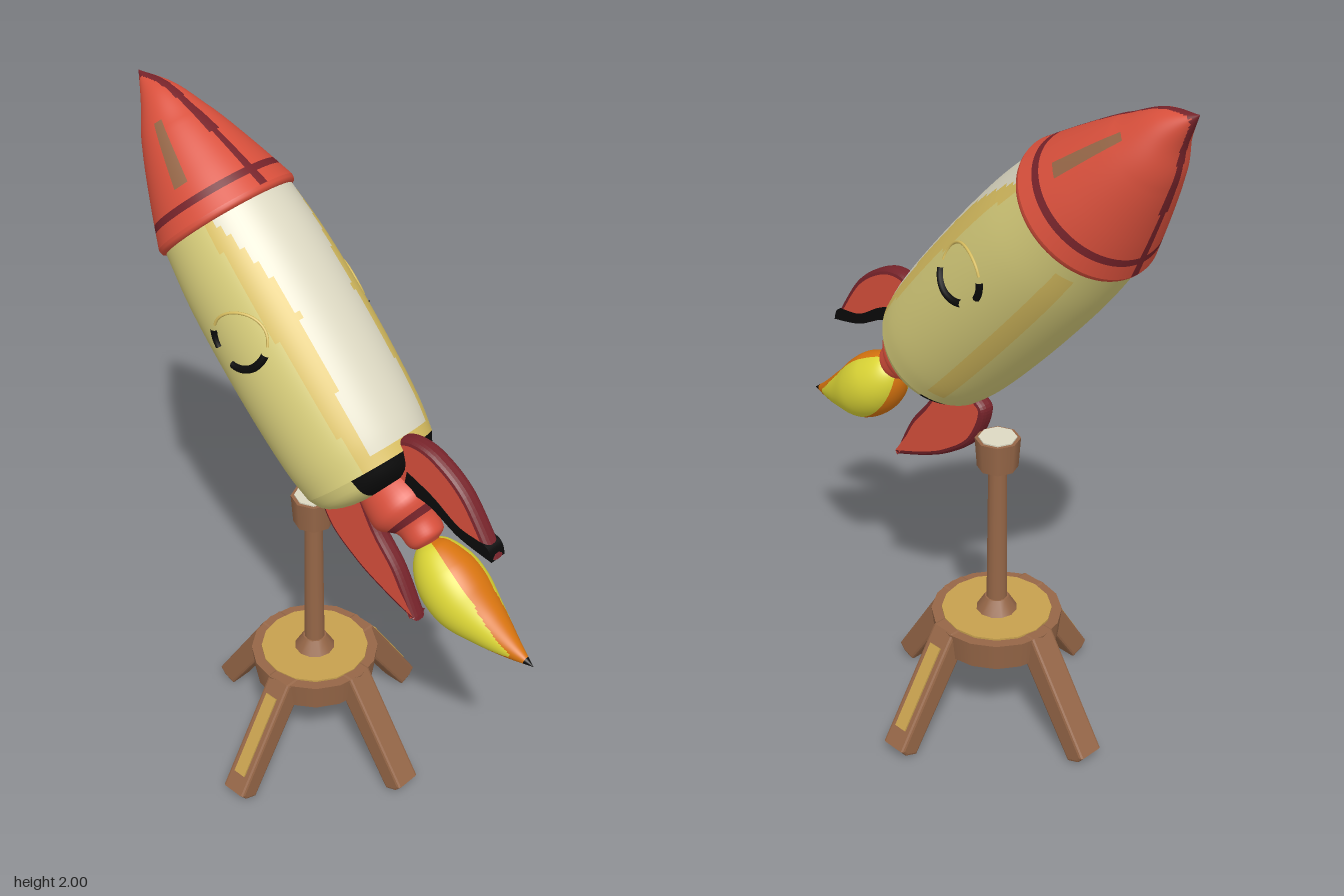
import * as THREE from 'three';

const mat = (name, color) => {
  const m = new THREE.MeshStandardMaterial({ color });
  m.name = name;
  return m;
};

export function createModel() {
  const red = mat('red', 0xd9503c), darkRed = mat('dark red', 0x76232a);
  const yellow = mat('pale yellow', 0xd6cc7a), gold = mat('gold', 0xd8be60), white = mat('off white', 0xdcd8c2);
  const flameYellow = mat('flame yellow', 0xdcd636), orange = mat('orange', 0xd8740f);
  const black = mat('black', 0x0a0a0a), brown = mat('brown', 0x956647), wood = mat('light wood', 0xc6a04e);

  const model = new THREE.Group();
  const rocket = new THREE.Group();
  rocket.name = 'rocket';
  const stand = new THREE.Group();
  stand.name = 'stand';
  model.add(rocket, stand);

  const add = (parent, name, geo, material, x = 0, y = 0, z = 0) => {
    const mesh = new THREE.Mesh(geo, material);
    mesh.name = name;
    mesh.position.set(x, y, z);
    parent.add(mesh);
    return mesh;
  };

  // Point on the tilted rocket axis: distance along it, radius there
  const D = [0.682, -0.731], OFF = 0.865;
  const axis = (s, r) => [D[0] * s - D[1] * OFF, D[1] * s + D[0] * OFF, r];

  // Round sweep through [x, y, radius] stations; paint(phi, u, r) picks the
  // colour, with phi in degrees from the rocket's upper side
  function sweep(name, stations, rings, paint, segs = 96) {
    const curve = new THREE.CatmullRomCurve3(stations.map(p => new THREE.Vector3(...p)));
    const pos = [], radii = [], buckets = new Map();
    for (let i = 0; i <= rings; i++) {
      const c = curve.getPoint(i / rings), t = curve.getTangent(i / rings);
      const l = Math.hypot(t.x, t.y), r = Math.max(c.z, 0.0005);
      radii.push(r);
      for (let j = 0; j < segs; j++) {
        const a = (j / segs) * Math.PI * 2, k = r * Math.cos(a);
        pos.push(c.x - (k * t.y) / l, c.y + (k * t.x) / l, r * Math.sin(a));
      }
    }
    for (let i = 0; i < rings; i++) for (let j = 0; j < segs; j++) {
      const phi = ((((j + 0.5) / segs) * 360 + 180) % 360) - 180;
      const m = paint(phi, (i + 0.5) / rings, (radii[i] + radii[i + 1]) / 2);
      if (!buckets.has(m)) buckets.set(m, []);
      const a = i * segs + j, b = i * segs + ((j + 1) % segs);
      buckets.get(m).push(a, b, a + segs, b, b + segs, a + segs);
    }
    const geo = new THREE.BufferGeometry(), index = [];
    [...buckets.values()].forEach((list, k) => {
      geo.addGroup(index.length, list.length, k);
      for (const v of list) index.push(v);
    });
    geo.setAttribute('position', new THREE.Float32BufferAttribute(pos, 3));
    geo.setIndex(index);
    geo.computeVertexNormals();
    return add(rocket, name, geo, [...buckets.keys()]);
  }
  const sin = d => Math.sin(THREE.MathUtils.degToRad(d));

  // Nose cone with dark seams, a dark ring and a streak on each side
  sweep('noseCone', [[-0.712, 2, 0], axis(-1.85, 0.062), axis(-1.76, 0.108), axis(-1.63, 0.16), axis(-1.51, 0.203)], 48,
    (phi, u, r) => {
      if (Math.abs(sin(phi)) * r < 0.013 || (u > 0.88 && u < 0.92)) return darkRed;
      return Math.abs(Math.abs(phi) - 60) < 7 && u > 0.42 && u < 0.8 ? brown : red;
    });
  sweep('noseRim', [axis(-1.51, 0.203), axis(-1.495, 0.2), axis(-1.488, 0.18)], 4, () => red);

  // Body with an off-white upper panel edged in gold
  sweep('body', [axis(-1.5, 0.19), axis(-1.35, 0.206), axis(-1.18, 0.212), axis(-0.96, 0.21), axis(-0.82, 0.202), axis(-0.74, 0.19)], 48,
    (phi, u) => {
      const p = Math.abs(phi);
      const panel = u < 0.4 ? 28 + 22 * Math.pow(1 - u / 0.4, 1.5) : 28 + 6 * Math.min(1, (u - 0.4) / 0.3);
      if (p < panel && u < 0.91) return white;
      if (p < 56 - 12 * u) return gold;
      return p > 122 && p < 138 && u > 0.06 && u < 0.9 ? gold : yellow;
    });
  sweep('bodyBase', [axis(-0.74, 0.19), axis(-0.7, 0.165), axis(-0.675, 0.11), axis(-0.665, 0.02)], 10,
    phi => (Math.abs(sin(phi)) > 0.82 ? yellow : black));

  // Nozzle and flame, curving away from the axis
  sweep('nozzle', [[0.14, 1.12, 0.07], [0.21, 1.09, 0.095], [0.26, 1.06, 0.1], [0.3, 1.03, 0.062], [0.335, 0.995, 0.052], [0.35, 0.982, 0.02]], 30,
    (phi, u) => (u > 0.5 && u < 0.56 ? darkRed : red), 48);
  sweep('flame', [[0.332, 0.998, 0], [0.35, 0.975, 0.05], [0.4, 0.92, 0.088], [0.47, 0.862, 0.092], [0.56, 0.82, 0.062], [0.64, 0.79, 0.03], [0.712, 0.77, 0]], 48,
    (phi, u) => {
      if (u > 0.93) return black;
      const edge = 0.48 + 0.5 * Math.max(0, (u - 0.55) / 0.3);
      return u > 0.08 && Math.abs(sin(phi)) > edge ? flameYellow : orange;
    });

  // Two swept-back fins with bevelled dark edges
  const spline = pts => pts.map(p => new THREE.Vector2(...p));
  function fin(name, root, outer, inner, side) {
    const shape = new THREE.Shape();
    shape.moveTo(...root);
    shape.splineThru(spline(outer));
    shape.splineThru(spline(inner));
    shape.closePath();
    const geo = new THREE.ExtrudeGeometry(shape, {
      depth: 0.016, bevelThickness: 0.018, bevelSize: 0.016, bevelOffset: -0.012, bevelSegments: 3, curveSegments: 8,
    });
    add(rocket, name, geo, [red, side], 0, 0, -0.008);
  }
  fin('upperFin', [0.22, 1.27], [[0.29, 1.295], [0.37, 1.28], [0.47, 1.21], [0.57, 1.065]], [[0.46, 1.085], [0.36, 1.13], [0.24, 1.14]], darkRed);
  fin('lowerFin', [0.02, 1.03], [[-0.045, 0.99], [0, 0.88], [0.1, 0.8], [0.2, 0.75], [0.32, 0.705]], [[0.25, 0.84], [0.17, 0.94], [0.11, 1.05]], darkRed);

  // Black lower edge of the upper fin
  const trim = new THREE.Shape();
  trim.moveTo(0.27, 1.14);
  trim.splineThru(spline([[0.36, 1.13], [0.46, 1.083], [0.572, 1.06]]));
  trim.splineThru(spline([[0.55, 1.1], [0.46, 1.115], [0.37, 1.165], [0.28, 1.2]]));
  add(rocket, 'upperFinTrim', new THREE.ExtrudeGeometry(trim, { depth: 0.054, bevelEnabled: false }), black, 0, 0, -0.027);

  // Round face on both sides, laid on the body's surface
  function faceArc(name, from, to, thick, material, side) {
    const pts = [];
    for (let i = 0; i <= 12; i++) {
      const a = THREE.MathUtils.degToRad(from + ((to - from) * i) / 12);
      const x = -0.148 + 0.082 * Math.cos(a), y = 1.495 + 0.075 * Math.sin(a);
      const n = -D[1] * x + D[0] * y - OFF;
      pts.push(new THREE.Vector3(x, y, side * Math.sqrt(0.212 ** 2 - n * n)));
    }
    add(rocket, name, new THREE.TubeGeometry(new THREE.CatmullRomCurve3(pts), 24, thick, 8), material);
  }
  for (const side of [1, -1]) {
    faceArc('faceOutline', 5, 165, 0.004, gold, side);
    faceArc('smileCorner', 175, 215, 0.01, black, side);
    faceArc('smile', 258, 350, 0.011, black, side);
  }

  // Stand: hub, post and cap
  const CX = -0.085;
  const cyl = (name, r1, r2, h, y, material, n = 24) =>
    add(stand, name, new THREE.CylinderGeometry(r1, r2, h, n), material, CX, y, 0);
  cyl('hub', 0.19, 0.18, 0.085, 0.303, brown, 16);
  cyl('hubTop', 0.16, 0.16, 0.006, 0.348, wood, 16);
  cyl('postCollar', 0.035, 0.062, 0.045, 0.37, brown, 12);
  cyl('post', 0.027, 0.031, 0.5, 0.6, brown, 12);
  cyl('postCap', 0.064, 0.058, 0.09, 0.872, brown, 8);
  cyl('postCapTop', 0.054, 0.054, 0.006, 0.918, white, 8);

  // Four splayed legs; the front and back ones carry a light stripe
  const profile = new THREE.Shape(spline([[0.13, 0.34], [0.18, 0.34], [0.377, 0.035], [0.365, 0.02], [0.335, 0.008], [0.16, 0.268], [0.13, 0.268]]));
  const legGeo = new THREE.ExtrudeGeometry(profile, { depth: 0.066, bevelThickness: 0.008, bevelSize: 0.008, bevelSegments: 2 });
  legGeo.translate(0, 0, -0.033);
  for (let k = 0; k < 4; k++) {
    const leg = new THREE.Group();
    leg.name = 'leg';
    leg.position.x = CX + (k % 2 ? 0.03 : 0);
    leg.rotation.y = (k * Math.PI) / 2;
    add(leg, 'legBar', legGeo, brown);
    if (k % 2) {
      const stripe = add(leg, 'legStripe', new THREE.BoxGeometry(0.006, 0.26, 0.04), wood, 0.286, 0.195, 0);
      stripe.rotation.z = 0.573;
    }
    stand.add(leg);
  }
  return model;
}
